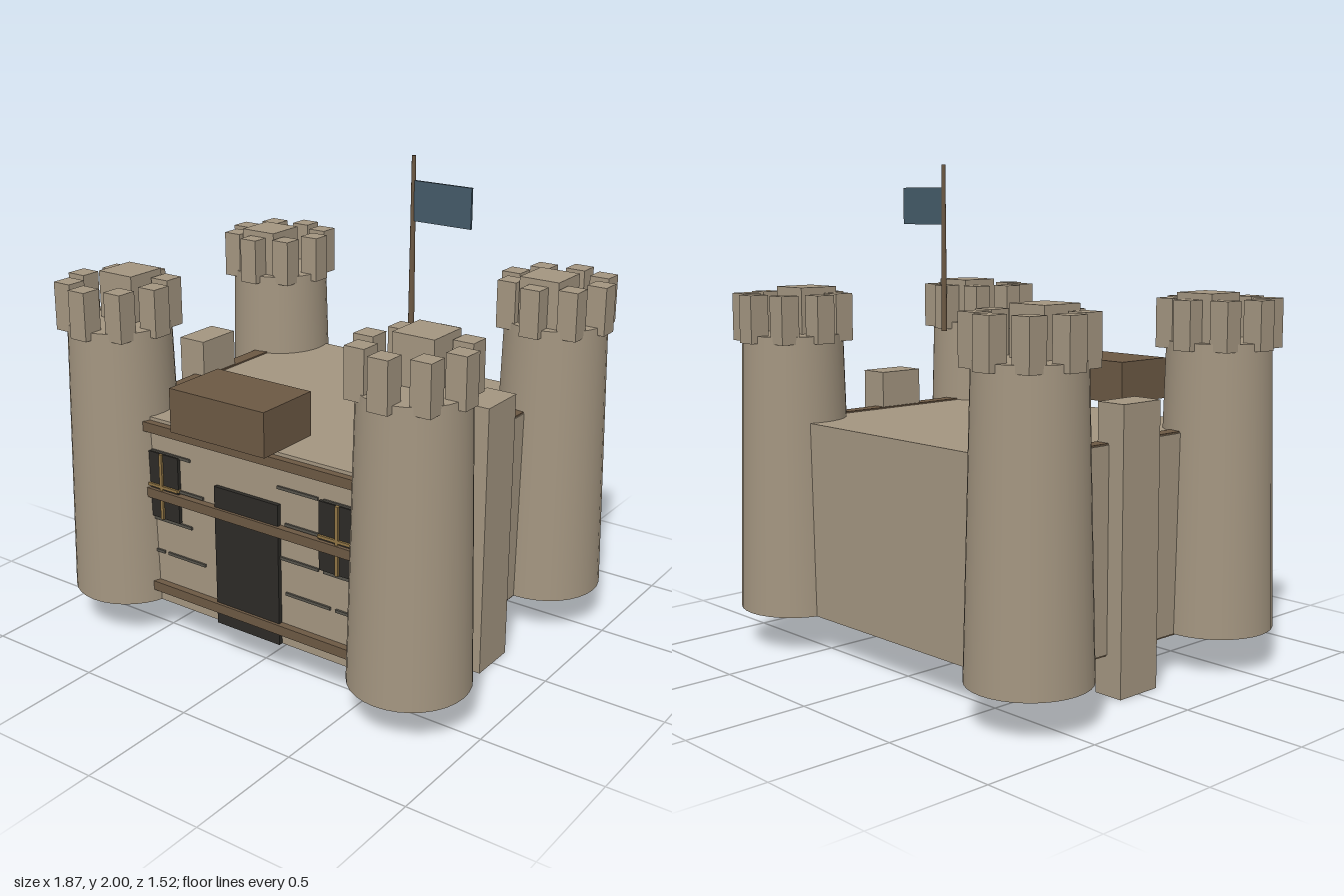
import * as THREE from 'three';

const mat = (color) => new THREE.MeshStandardMaterial({ color });

export function createModel() {
  const stone = mat(0xa39580), wood = mat(0x6b5843), dark = mat(0x2c2a26);
  const mortar = mat(0x55524a), brass = mat(0x8f7444), cloth = mat(0x445a68);
  const model = new THREE.Group();
  model.name = 'castle';

  // box given by its min and max on each axis
  const box = (parent, name, material, [x0, x1], [y0, y1], [z0, z1]) => {
    const mesh = new THREE.Mesh(new THREE.BoxGeometry(x1 - x0, y1 - y0, z1 - z0), material);
    mesh.position.set((x0 + x1) / 2, (y0 + y1) / 2, (z0 + z1) / 2);
    mesh.name = name;
    parent.add(mesh);
    return mesh;
  };
  const around = (c, size) => [c - size / 2, c + size / 2];

  // main keep
  box(model, 'keep', stone, [-0.69, 0.69], [0.16, 0.96], [-0.59, 0.59]);

  // corner towers with battlements
  for (const sx of [-1, 1]) for (const sz of [-1, 1]) {
    const tower = new THREE.Group();
    tower.name = 'tower';
    tower.position.set(sx * 0.7, 0, sz * 0.522);
    const shaft = new THREE.Mesh(new THREE.CylinderGeometry(0.207, 0.237, 1.15, 32), stone);
    shaft.position.y = 0.735;
    shaft.name = 'towerShaft';
    tower.add(shaft);
    for (let i = 0; i < 8; i++) {
      const a = (i * Math.PI) / 4;
      box(tower, 'merlon', stone, around(Math.cos(a) * 0.19, 0.083), [1.28, 1.475], around(Math.sin(a) * 0.19, 0.083));
    }
    box(tower, 'towerCap', stone, around(0, 0.172), [1.29, 1.5], around(-sz * 0.072, 0.175));
    model.add(tower);
  }

  // side walls: timber edging and buttresses
  for (const s of [-1, 1]) {
    box(model, 'sideTimber', wood, around(s * 0.656, 0.06), [0.154, 0.966], [-0.6, 0.6]);
    box(model, 'buttress', stone, around(s * 0.697, 0.128), [0, 1.117], [-0.102, 0.102]);
  }

  // front timbers
  for (const y of [0.232, 0.645, 0.926]) {
    box(model, 'frontBeam', wood, [-0.6, 0.6], around(y, 0.04), [0.58, 0.62]);
  }

  // door and windows
  box(model, 'door', dark, [-0.157, 0.155], [0.16, 0.752], [0.57, 0.608]);
  for (const s of [-1, 1]) {
    const x = s * 0.43;
    box(model, 'window', dark, around(x, 0.17), [0.54, 0.82], [0.57, 0.605]);
    box(model, 'windowMullion', brass, around(x, 0.014), [0.54, 0.82], [0.59, 0.614]);
    box(model, 'windowTransom', brass, around(x, 0.17), around(0.68, 0.012), [0.59, 0.614]);
  }

  // mortar lines on the front wall
  const courses = [
    { ys: [0.53, 0.82], spans: [[-0.49, -0.29], [0.145, 0.335], [0.36, 0.485]] },
    { ys: [0.385, 0.675], spans: [[-0.49, -0.44], [-0.42, -0.225], [0.18, 0.39], [0.415, 0.475]] },
  ];
  for (const { ys, spans } of courses) for (const y of ys) for (const span of spans) {
    box(model, 'mortarLine', mortar, span, around(y, 0.012), [0.58, 0.598]);
  }

  // block above the entrance
  box(model, 'entranceHood', wood, [-0.225, 0.223], [1.01, 1.185], [0.485, 0.765]);

  // flag
  const pole = new THREE.Mesh(new THREE.CylinderGeometry(0.008, 0.012, 0.69, 12), wood);
  pole.position.set(0.345, 1.655, 0);
  pole.name = 'flagPole';
  model.add(pole);
  box(model, 'flag', cloth, [0.35, 0.6], [1.753, 1.907], [-0.005, 0.005]);

  return model;
}
